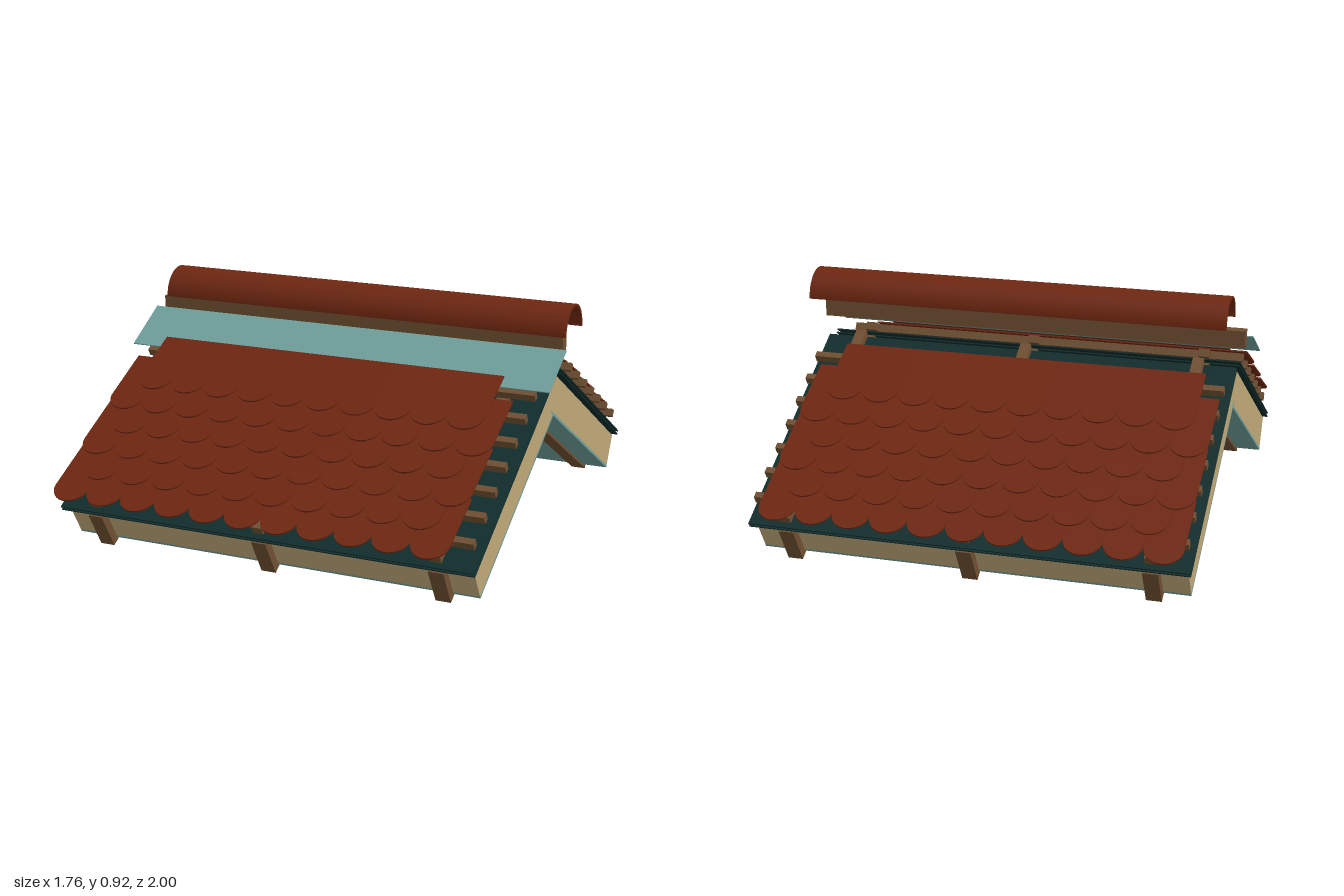
import * as THREE from 'three';

const mat = (name, color, side = THREE.FrontSide) => {
  const m = new THREE.MeshStandardMaterial({ color, side });
  m.name = name;
  return m;
};

const PITCH = Math.PI / 6;
const CENTRE = -0.005; // the layers sit slightly off the ridge cap's centre

export function createModel() {
  const wood = mat('wood', 0x6f4f32);
  const insulationMat = mat('insulation', 0xbea878);
  const membraneMat = mat('membrane', 0x102c2c);
  const sheetMat = mat('teal sheet', 0x6f9f9d);
  const clay = mat('clay', 0x6e2711);

  const model = new THREE.Group();
  model.name = 'roofSection';

  // Round-ended tile: x across, z down the slope from 0, y thickness
  const TILE_W = 0.143, TILE_L = 0.301, r = TILE_W / 2 - 0.0005;
  const shape = new THREE.Shape();
  shape.moveTo(-r, 0);
  shape.lineTo(-r, -(TILE_L - r));
  shape.absarc(0, -(TILE_L - r), r, Math.PI, Math.PI * 2, false);
  shape.lineTo(r, 0);
  shape.closePath();
  const tileGeo = new THREE.ExtrudeGeometry(shape, { depth: 0.006, bevelEnabled: false, curveSegments: 16 });
  tileGeo.rotateX(-Math.PI / 2);

  // One pitched side; dir = 1 is the front, -1 the back
  function slope(dir) {
    const g = new THREE.Group();
    g.name = dir > 0 ? 'frontSlope' : 'backSlope';
    g.rotation.set(PITCH, dir > 0 ? 0 : Math.PI, 0, 'YXZ');

    // Box given by x range, height range above the slope plane, range down the slope
    const slab = (name, material, [x0, x1], [h0, h1], [s0, s1]) => {
      const m = new THREE.Mesh(new THREE.BoxGeometry(x1 - x0, h1 - h0, s1 - s0), material);
      m.position.set(dir * (x0 + x1) / 2, (h0 + h1) / 2, (s0 + s1) / 2);
      m.name = name;
      g.add(m);
    };

    // Inner lining, insulation and the two membranes
    slab('liningBoard', sheetMat, [-0.82, 0.81], [0.41, 0.42], [-0.27, 0.66]);
    slab('insulation', insulationMat, [-0.82, 0.81], [0.42, 0.553], [-0.285, 0.66]);
    slab('lowerMembrane', membraneMat, [-0.835, 0.825], [0.564, 0.569], [-0.29, 0.69]);
    slab('upperMembrane', membraneMat, [-0.835, 0.825], [0.578, 0.583], [-0.29, 0.69]);

    // Rafters with counter battens above them
    for (const i of [-1, 0, 1]) {
      const x = CENTRE + i * 0.685;
      slab('rafter', wood, [x - 0.029, x + 0.029], [0.4, 0.56], [-0.318, 0.693]);
      slab('counterBatten', wood, [x - 0.021, x + 0.021], [0.59, 0.621], [-0.29, 0.672]);
    }

    // Tile battens
    for (let i = 0; i < 7; i++) {
      const s = -0.115 + i * 0.12;
      slab('tileBatten', wood, [-0.82, 0.81], [0.621, 0.652], [s - 0.013, s + 0.013]);
    }

    // Staggered tile rows, ten and eleven tiles in turn
    const tiles = new THREE.Group();
    tiles.name = 'tiles';
    for (let row = 0; row < 6; row++) {
      const count = row % 2 ? 11 : 10;
      for (let i = 0; i < count; i++) {
        const t = new THREE.Mesh(tileGeo, clay);
        t.name = 'tile';
        t.position.set(dir * (-0.033 + (i - (count - 1) / 2) * TILE_W), 0.679, -0.153 + row * 0.12);
        t.rotation.x = -0.06;
        tiles.add(t);
      }
    }
    g.add(tiles);

    // Ridge underlay sheet, on the front only
    if (dir > 0) slab('ridgeSheet', sheetMat, [-0.88, 0.87], [0.673, 0.677], [-0.329, -0.104]);
    return g;
  }
  model.add(slope(1), slope(-1));

  // Ridge batten
  const ridge = new THREE.Mesh(new THREE.BoxGeometry(1.705, 0.068, 0.044), wood);
  ridge.name = 'ridgeBatten';
  ridge.position.set(-0.0075, 0.755, 0);
  model.add(ridge);

  // Half-round ridge cap
  const arch = new THREE.Shape();
  arch.absarc(0, 0, 0.105, 0, Math.PI, false);
  arch.absarc(0, 0, 0.096, Math.PI, 0, true);
  arch.closePath();
  const capGeo = new THREE.ExtrudeGeometry(arch, { depth: 1.68, bevelEnabled: false, curveSegments: 32 });
  capGeo.rotateY(Math.PI / 2);
  const cap = new THREE.Mesh(capGeo, clay);
  cap.name = 'ridgeCap';
  cap.position.set(-0.8, 0.81, 0);
  model.add(cap);

  return model;
}
